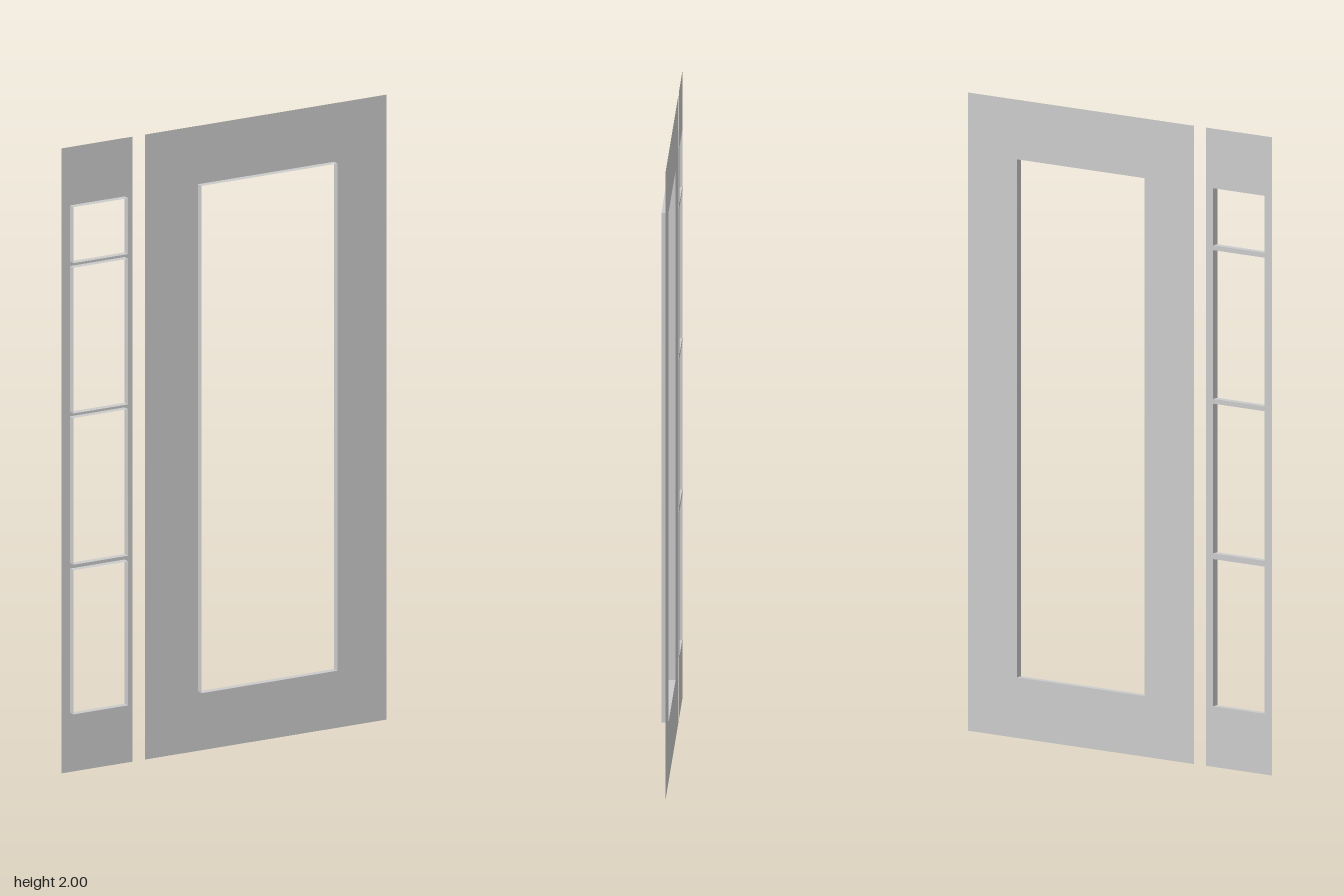
import * as THREE from 'three';
import { mergeGeometries } from 'three/addons/utils/BufferGeometryUtils.js';

const HEIGHT = 2;
const LIP = 0.022; // how far the opening rims stand forward of the sheet

const material = new THREE.MeshStandardMaterial({
  color: 0xcccccc, side: THREE.DoubleSide, flatShading: true,
});

function trace(path, x0, x1, y0, y1) {
  path.moveTo(x0, y0);
  path.lineTo(x1, y0);
  path.lineTo(x1, y1);
  path.lineTo(x0, y1);
  path.closePath();
  return path;
}

// Four open strips lining one rectangular opening
function rim([x0, x1, y0, y1]) {
  const w = x1 - x0, h = y1 - y0, cx = (x0 + x1) / 2, cy = (y0 + y1) / 2;
  const strips = [
    new THREE.PlaneGeometry(w, LIP).rotateX(-Math.PI / 2).translate(cx, y0, LIP / 2),
    new THREE.PlaneGeometry(w, LIP).rotateX(Math.PI / 2).translate(cx, y1, LIP / 2),
    new THREE.PlaneGeometry(LIP, h).rotateY(Math.PI / 2).translate(x0, cy, LIP / 2),
    new THREE.PlaneGeometry(LIP, h).rotateY(-Math.PI / 2).translate(x1, cy, LIP / 2),
  ];
  return mergeGeometries(strips);
}

// Thin sheet with rimmed rectangular openings
function panel(name, x0, x1, openings) {
  const group = new THREE.Group();
  group.name = name;
  const shape = trace(new THREE.Shape(), x0, x1, 0, HEIGHT);
  openings.forEach((o) => shape.holes.push(trace(new THREE.Path(), ...o)));
  const sheet = new THREE.Mesh(new THREE.ShapeGeometry(shape), material);
  sheet.name = name + 'Sheet';
  const rims = new THREE.Mesh(mergeGeometries(openings.map(rim)), material);
  rims.name = name + 'OpeningRims';
  group.add(sheet, rims);
  return group;
}

export function createModel() {
  const model = new THREE.Group();
  model.name = 'doorSurround';

  // Both panels lie in one slightly turned plane
  const wall = new THREE.Group();
  wall.name = 'panels';
  wall.rotation.y = 0.025;
  wall.position.z = -0.0122;

  // Wide panel with one tall opening
  wall.add(panel('doorPanel', -0.283, 0.573, [[-0.095, 0.387, 0.19, 1.813]]));

  // Narrow panel with four panes divided by thin bars
  const panes = [[0.19, 0.651], [0.669, 1.138], [1.153, 1.619], [1.634, 1.813]];
  wall.add(panel('sidePanel', -0.579, -0.328, panes.map(([a, b]) => [-0.55, -0.356, a, b])));

  model.add(wall);
  return model;
}
